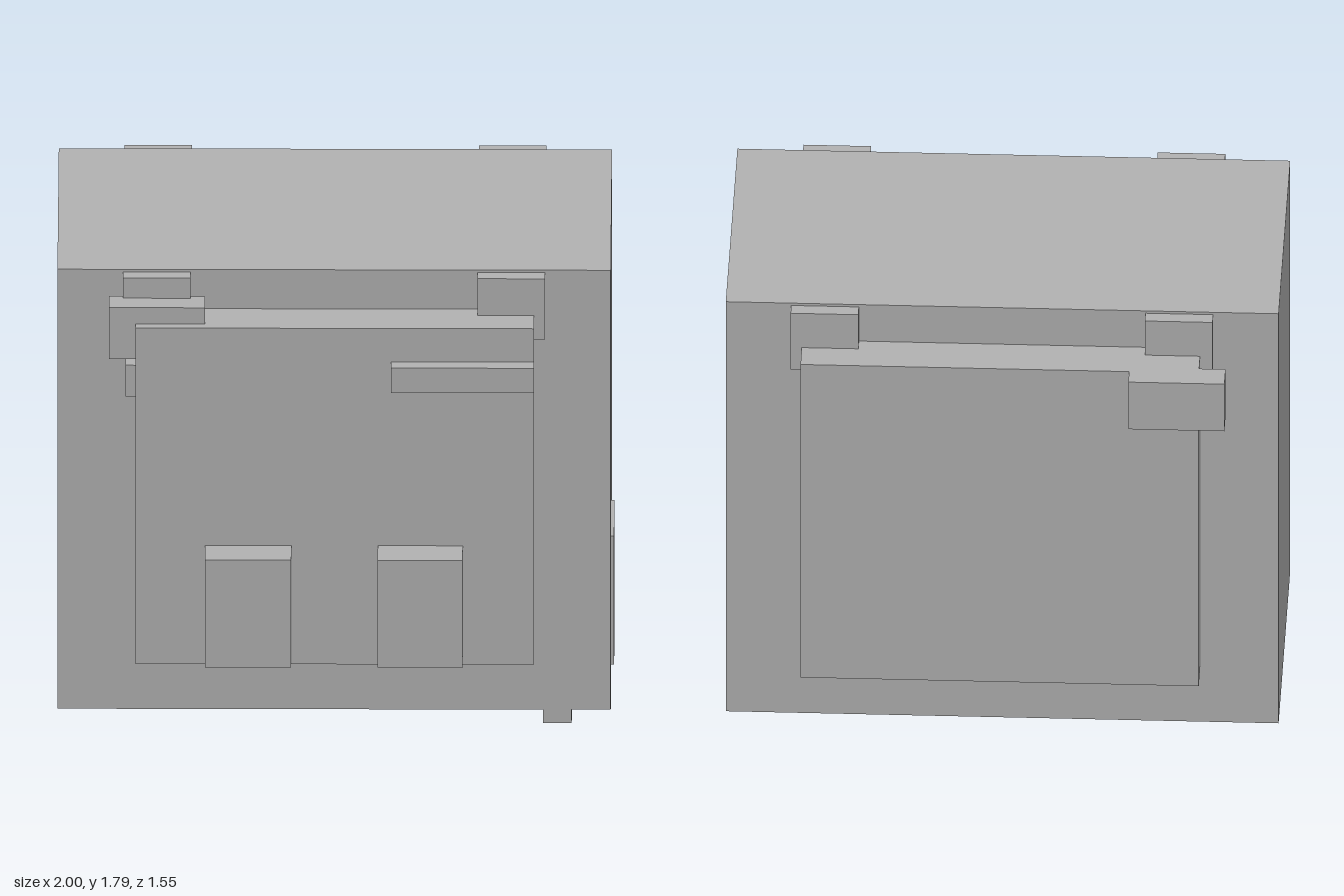
import * as THREE from 'three';

export function createModel() {
  const group = new THREE.Group();
  const grey = new THREE.MeshStandardMaterial({ color: 0xb2b2b2 });
  grey.name = 'plain grey';

  // Box given by its extents on each axis
  function box(name, [x0, x1], [y0, y1], [z0, z1]) {
    const mesh = new THREE.Mesh(new THREE.BoxGeometry(x1 - x0, y1 - y0, z1 - z0), grey);
    mesh.position.set((x0 + x1) / 2, (y0 + y1) / 2, (z0 + z1) / 2);
    mesh.name = name;
    group.add(mesh);
  }

  // Main cabinet
  box('cabinet', [-1, 0.985], [0.055, 1.795], [-0.54, 0.485]);

  // Raised panels on front and back
  box('frontPanel', [-0.72, 0.71], [0.31, 1.64], [0.48, 0.65]);
  box('backPanel', [-0.72, 0.71], [0.31, 1.64], [-0.705, -0.53]);

  // Hanger brackets above both panels
  for (const [side, x] of [['Right', [-0.765, -0.522]], ['Left', [0.507, 0.75]]]) {
    box('frontBracket' + side, x, [1.545, 1.785], [0.48, 0.537]);
    box('backBracket' + side, x, [1.545, 1.785], [-0.592, -0.53]);
  }

  // Details on the front panel
  box('frontBlockRight', [-0.47, -0.16], [0.355, 0.78], [0.64, 0.775]);
  box('frontBlockLeft', [0.15, 0.455], [0.355, 0.78], [0.64, 0.775]);
  box('handleBar', [0.197, 0.71], [1.41, 1.508], [0.64, 0.703]);

  // Latches at the upper corners of the panels
  box('frontLatch', [-0.815, -0.47], [1.502, 1.705], [0.52, 0.617]);
  box('frontCatch', [-0.755, -0.6], [1.36, 1.483], [0.54, 0.63]);
  box('backLatch', [-0.815, -0.47], [1.44, 1.64], [-0.775, -0.675]);

  // Side plate and small foot
  box('sidePlate', [0.98, 0.997], [0.21, 0.72], [0.13, 0.435]);
  box('foot', [0.742, 0.845], [0, 0.06], [0.34, 0.482]);

  return group;
}
